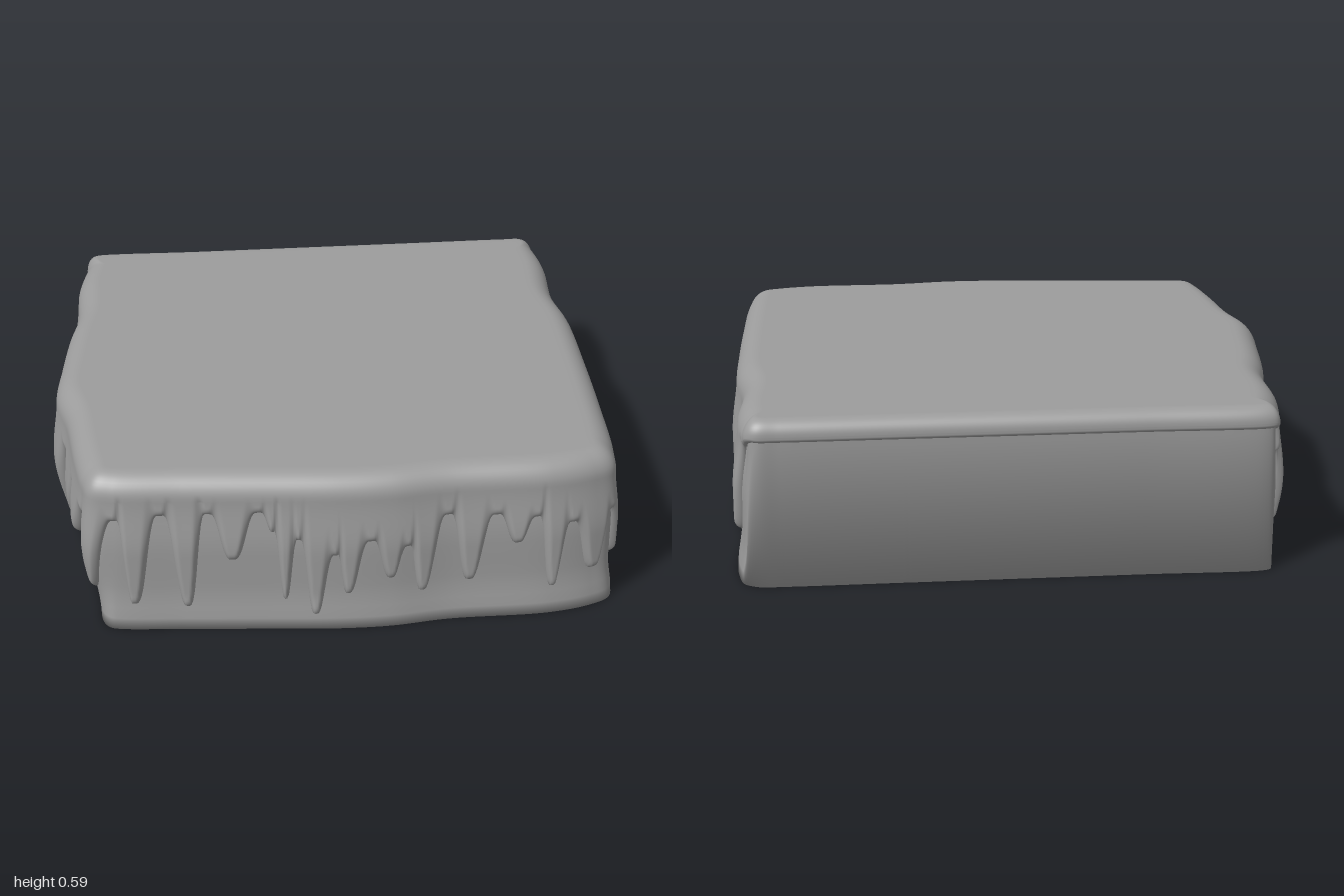
import * as THREE from 'three';

const COLS = 1100, TOP = 0.587, ICING = 0.026;
const { smoothstep, smootherstep, lerp } = THREE.MathUtils;

// Widest outline of the icing as [x, z]: left side, front, right side, back
const OUTLINE = [
  [0.9, -0.935], [0.95, -0.9], [0.972, -0.82], [0.98, -0.7], [0.965, -0.45], [0.99, -0.24], [0.988, 0.08],
  [0.978, 0.4], [0.96, 0.72], [0.935, 0.83], [0.86, 0.875], [0.7, 0.91], [0.35, 0.915], [0.15, 0.938],
  [-0.02, 0.938], [-0.29, 0.915], [-0.56, 0.89], [-0.8, 0.865], [-0.88, 0.83], [-0.91, 0.75], [-0.935, 0.59],
  [-0.96, 0.35], [-0.997, 0.16], [-0.98, -0.05], [-0.95, -0.29], [-0.92, -0.45], [-0.915, -0.7],
  [-0.885, -0.86], [-0.86, -0.92], [-0.82, -0.94], [-0.4, -0.94], [0.4, -0.94], [0.82, -0.94],
];

// Heights of the icing's lower edge, alternating gaps and drip tips
const LEFT_DRIPS = [ // [z, y]
  [-0.9, 0.48], [-0.76, 0.16], [-0.67, 0.455], [-0.54, 0.08], [-0.44, 0.46], [-0.29, 0.24], [-0.21, 0.355],
  [-0.1, 0.125], [-0.01, 0.36], [0.12, 0.18], [0.29, 0.395], [0.36, 0.36], [0.405, 0.005], [0.44, 0.005],
  [0.505, 0.34], [0.585, 0.16], [0.67, 0.31], [0.77, 0.15], [0.86, 0.36],
];
const FRONT_DRIPS = [ // [x, y]
  [0.88, 0.15], [0.775, 0.35], [0.7, 0.105], [0.64, 0.385], [0.57, 0.29], [0.5, 0.4], [0.41, 0.15], [0.34, 0.41],
  [0.245, 0.125], [0.2, 0.31], [0.14, 0.19], [0.075, 0.34], [-0.005, 0.135], [-0.04, 0.29], [-0.11, 0.06],
  [-0.165, 0.35], [-0.21, 0.115], [-0.25, 0.38], [-0.295, 0.45], [-0.39, 0.275], [-0.475, 0.445], [-0.55, 0.09],
  [-0.64, 0.44], [-0.75, 0.1], [-0.82, 0.42],
];
const RIGHT_DRIPS = [ // [z, y]
  [0.86, 0.14], [0.76, 0.4], [0.6, 0.25], [0.52, 0.39], [0.42, 0.22], [0.3, 0.4], [0.15, 0.045], [0.05, 0.42],
  [-0.08, 0.24], [-0.17, 0.42], [-0.3, 0.14], [-0.43, 0.44], [-0.6, 0.17], [-0.72, 0.45], [-0.85, 0.13], [-0.91, 0.4],
];
// One running coordinate q: left side -1..1, front 1..3, right side 3..5, back 5..7
const EDGE = [
  ...LEFT_DRIPS.map(([z, y]) => [z / 0.93, y]),
  ...FRONT_DRIPS.map(([x, y]) => [2 - x / 0.935, y]),
  ...RIGHT_DRIPS.map(([z, y]) => [4 - z / 0.905, y]),
  [5.05, 0.51], [6.98, 0.51],
];

function edgeHeight(q) {
  const first = EDGE[0][0] + 8;
  if (q < EDGE[0][0]) q += 8;
  let k = 0;
  while (k < EDGE.length - 1 && EDGE[k + 1][0] < q) k++;
  const [q0, y0] = EDGE[k];
  const [q1, y1] = EDGE[k + 1] ?? [first, EDGE[0][1]];
  return lerp(y0, y1, smootherstep(q, lerp(q0, q1, 0.08), lerp(q0, q1, 0.92)));
}

// Sample the outline: position, outward normal, drip height and side weights
function makeColumns() {
  const curve = new THREE.CatmullRomCurve3(OUTLINE.map(([x, z]) => new THREE.Vector3(x, 0, z)), true);
  curve.arcLengthDivisions = 1000;
  const cols = [], tangents = [];
  for (let i = 0; i < COLS; i++) {
    const p = curve.getPointAt(i / COLS);
    tangents.push(curve.getTangentAt(i / COLS));
    let X = p.x / 0.97, Z = p.z / 0.93;
    const m = Math.max(Math.abs(X), Math.abs(Z));
    X /= m; Z /= m;
    const q = X > 0.9999 ? Z : Z > 0.9999 ? 2 - X : X < -0.9999 ? 4 - Z : 6 + X;
    const back = smoothstep(-p.z, 0.88, 0.94);
    const right = smoothstep(-p.x, 0.8, 0.93) * (1 - back);
    const shoulder = lerp(0.085, 0.055, back);
    const edge = Math.min(edgeHeight(q), TOP - shoulder - 0.02);
    cols.push({ x: p.x, z: p.z, back, right, shoulder, edge });
  }
  // Normals averaged along the outline keep the corners free of folds;
  // the edge slope rounds the drips evenly on all sides
  const step = curve.getLength() / COLS, SPAN = 22;
  cols.forEach((c, i) => {
    const t = new THREE.Vector3();
    for (let k = -SPAN; k <= SPAN; k++) t.add(tangents[(i + k + COLS) % COLS]);
    t.normalize();
    c.nx = t.z;
    c.nz = -t.x;
    const a = cols[(i + COLS - 1) % COLS], b = cols[(i + 1) % COLS];
    c.stretch = Math.hypot(1, (b.edge - a.edge) / (2 * step));
  });
  return cols;
}

// Offset of the cake wall from the outline at height y
function wallOffset(c, y) {
  const lean = -0.022 * smoothstep(y, 0.3, 0.52) * (1 - c.back);
  const tuck = -0.05 * (1 - smoothstep(y, 0, 0.3)) * c.right;
  const flare = 0.018 * (1 - smoothstep(y, 0, 0.15)) * (1 - c.back) * (1 - c.right);
  return -ICING * lerp(1, 0.6, c.back) + lean + tuck + flare;
}

// Closed skin from rings; pointAt(column, row) returns [x, y, z]
function skin(name, cols, rows, pointAt, material) {
  const pos = [], index = [];
  for (let j = 0; j < rows; j++) {
    for (let i = 0; i < COLS; i++) {
      pos.push(...pointAt(cols[i], j));
      if (j === rows - 1) continue;
      const a = j * COLS + i, b = j * COLS + (i + 1) % COLS;
      index.push(a, b, a + COLS, b, b + COLS, a + COLS);
    }
  }
  const geo = new THREE.BufferGeometry();
  geo.setAttribute('position', new THREE.Float32BufferAttribute(pos, 3));
  geo.setIndex(index);
  geo.computeVertexNormals();
  const mesh = new THREE.Mesh(geo, material);
  mesh.name = name;
  return mesh;
}

const offsetPoint = (c, d, y) => [c.x + c.nx * d, y, c.z + c.nz * d];

export function createModel() {
  const group = new THREE.Group();
  group.name = 'icedCake';
  const material = new THREE.MeshStandardMaterial({ color: 0x9c9c9c, side: THREE.DoubleSide });
  const cols = makeColumns();

  // Icing: flat top, rounded shoulder, then a wall that ends in rounded drips
  const FLAT = 4, ROUND = 10, WALL = 30;
  group.add(skin('icing', cols, FLAT + ROUND + WALL, (c, j) => {
    const yS = TOP - c.shoulder;
    const full = ICING * lerp(1, 0.6, c.back);
    const outer = wallOffset(c, yS) + full;
    if (j < FLAT) {
      const f = [0, 0.5, 0.9, 0.98][j];
      const [x, y, z] = offsetPoint(c, outer - c.shoulder, TOP);
      return [x * f, y, z * f];
    }
    if (j < FLAT + ROUND) {
      const a = ((j - FLAT) / ROUND) * Math.PI / 2;
      return offsetPoint(c, outer - c.shoulder * (1 - Math.sin(a)), yS + c.shoulder * Math.cos(a));
    }
    const k = 1 - (j - FLAT - ROUND) / (WALL - 1);
    const y = c.edge + (yS - c.edge) * Math.pow(k, 1.5);
    const dist = Math.min(1, (y - c.edge) / c.stretch / lerp(0.032, 0.015, c.back));
    const bulge = Math.sqrt(1 - (1 - dist) ** 2);
    return offsetPoint(c, wallOffset(c, y) - 0.004 + (full + 0.004) * bulge, y);
  }, material));

  // Cake body: wall and underside in one smooth skin, the back being a single tall panel
  const SIDE = 13, UNDER = 3;
  group.add(skin('cakeBody', cols, SIDE + UNDER, (c, j) => {
    if (j < SIDE) {
      const y = lerp(0.53 * (1 - j / SIDE), 0.53 - 0.003 * j, c.back);
      return offsetPoint(c, wallOffset(c, y), y);
    }
    const f = [1, 0.6, 0][j - SIDE];
    const [x, y, z] = offsetPoint(c, wallOffset(c, 0), 0);
    return [x * f, y, z * f];
  }, material));

  return group;
}
